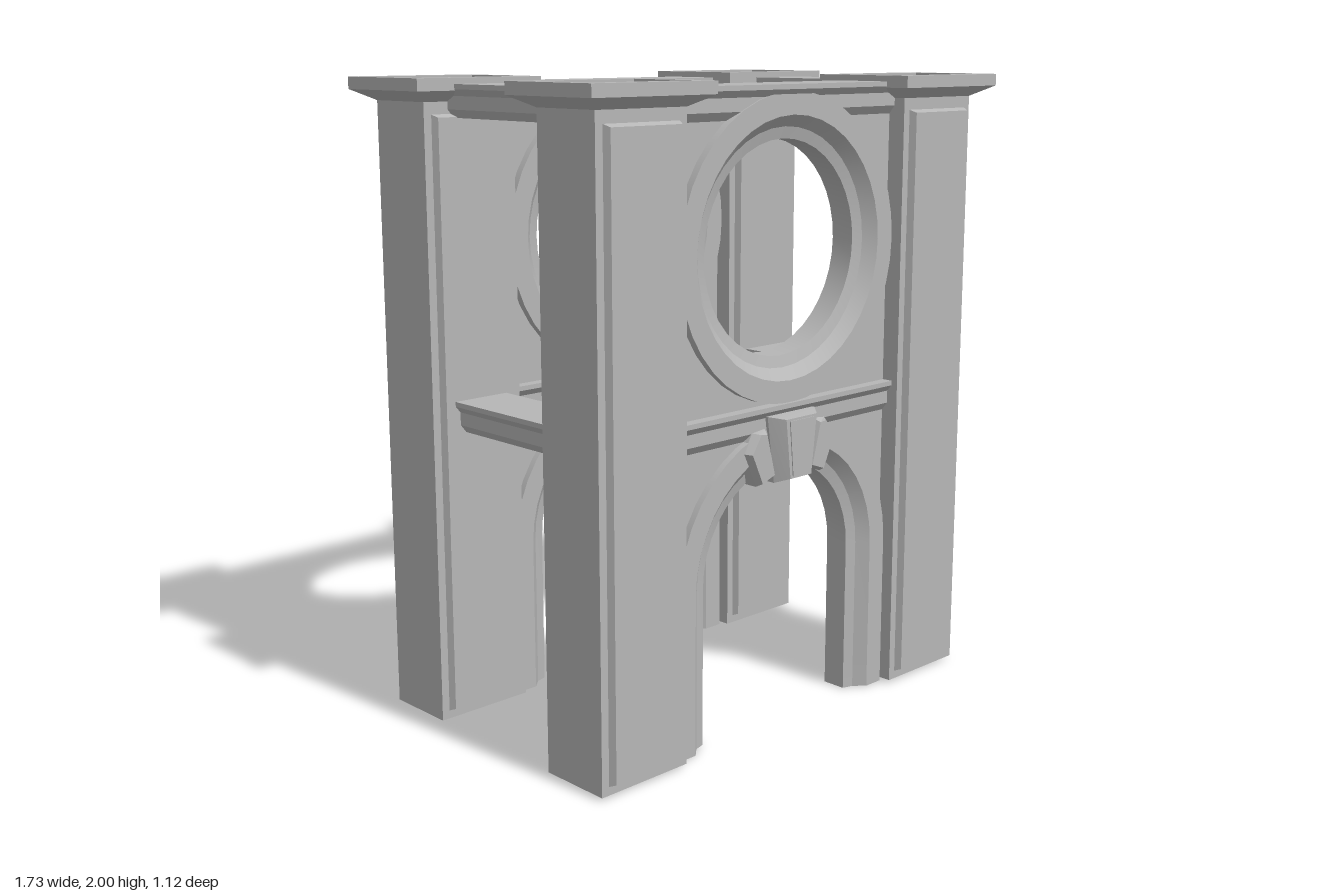
import * as THREE from 'three';
import { toCreasedNormals } from 'three/addons/utils/BufferGeometryUtils.js';

const PX = 0.637, PZ = 0.38;          // pillar centres
const ARCH_Y = 0.5, RING_Y = 1.495;   // arch spring line and round window centre

// Skin a row of equal-length point loops; optionally cap the ends or join last to first.
function loft(sections, { caps = true, closed = false } = {}) {
  const n = sections[0].length, m = sections.length;
  const pos = sections.flat(2), idx = [];
  for (let s = 0; s < (closed ? m : m - 1); s++) {
    for (let i = 0; i < n; i++) {
      const j = (i + 1) % n, t = (s + 1) % m;
      const a = s * n + i, b = s * n + j, c = t * n + j, d = t * n + i;
      idx.push(a, b, c, a, c, d);
    }
  }
  if (caps) {
    [0, m - 1].forEach((s) => {
      const centre = [0, 1, 2].map((k) => sections[s].reduce((sum, p) => sum + p[k], 0) / n);
      const c = pos.length / 3;
      pos.push(...centre);
      for (let i = 0; i < n; i++) {
        const a = s * n + i, b = s * n + (i + 1) % n;
        if (s === 0) idx.push(c, b, a); else idx.push(c, a, b);
      }
    });
  }
  // Turn the faces outward
  const v = (i) => new THREE.Vector3().fromArray(pos, i * 3);
  const mid = v(0).clone().set(0, 0, 0);
  for (let i = 0; i < pos.length / 3; i++) mid.addScaledVector(v(i), 3 / pos.length);
  let volume = 0;
  for (let i = 0; i < idx.length; i += 3) {
    const [a, b, c] = [0, 1, 2].map((k) => v(idx[i + k]).sub(mid));
    volume += a.dot(b.cross(c));
  }
  if (volume < 0) idx.reverse();
  const g = new THREE.BufferGeometry();
  g.setAttribute('position', new THREE.Float32BufferAttribute(pos, 3));
  g.setIndex(idx);
  return toCreasedNormals(g, 0.35);
}

// Rectangles lying flat (for columns) or upright (for face plates)
const flatRect = (y, hx, hz) => [[-hx, y, -hz], [hx, y, -hz], [hx, y, hz], [-hx, y, hz]];
const uprightRect = (z, hx, y0, y1) => [[-hx, y0, z], [hx, y0, z], [hx, y1, z], [-hx, y1, z]];

// Moulding cross-section as [radius, depth]
const moulding = (depth) => [
  [0.467, -depth], [0.467, depth], [0.398, depth], [0.363, 0.05], [0.327, 0.04],
  [0.327, -0.04], [0.363, -0.05], [0.398, -depth],
];
const spoke = (profile, angle, y) =>
  profile.map(([r, z]) => [r * Math.cos(angle), y + r * Math.sin(angle), z]);

function windowRing() {
  const sections = [];
  for (let i = 0; i < 40; i++) sections.push(spoke(moulding(0.085), i / 40 * Math.PI * 2, RING_Y));
  return loft(sections, { caps: false, closed: true });
}

function archMoulding() {
  const sections = [spoke(moulding(0.082), 0, 0)];
  for (let i = 0; i <= 20; i++) sections.push(spoke(moulding(0.082), i / 20 * Math.PI, ARCH_Y));
  sections.push(spoke(moulding(0.082), Math.PI, 0));
  return loft(sections);
}

function wallCore() {
  const x = 0.487, r = 0.42, d = 0.06;
  const shape = new THREE.Shape();
  shape.moveTo(-x, 0);
  shape.lineTo(-r, 0);
  shape.lineTo(-r, ARCH_Y);
  shape.absarc(0, ARCH_Y, r, Math.PI, 0, true);
  shape.lineTo(r, 0);
  shape.lineTo(x, 0);
  shape.lineTo(x, 1.95);
  shape.lineTo(-x, 1.95);
  const hole = new THREE.Path();
  hole.absarc(0, RING_Y, r, 0, Math.PI * 2, true);
  shape.holes.push(hole);
  return new THREE.ExtrudeGeometry(shape, { depth: 2 * d, bevelEnabled: false, curveSegments: 20 })
    .translate(0, 0, -d);
}

// Stepped beam running along x, centred, with its underside at y = 0
function cornice(halfLength) {
  const half = [[0.06, 0], [0.08, 0.025], [0.08, 0.065], [0.097, 0.085], [0.097, 0.1]];
  const profile = [...half, ...half.map(([z, y]) => [-z, y]).reverse()];
  return loft([-halfLength, halfLength].map((x) => profile.map(([z, y]) => [x, y, z])));
}

// Radial block beside the keystone, chamfered on both faces
function archBlock() {
  const section = (z, inset) => {
    const a0 = 1.11 + inset, a1 = 1.34 - inset, r0 = 0.322 + inset * 0.3, r1 = 0.485 - inset * 0.3;
    return [[r0, a0], [r1 - 0.04, a0], [r1, a0 + 0.12], [r1 - 0.01, a1], [r0, a1]]
      .map(([r, a]) => [r * Math.cos(a), ARCH_Y + r * Math.sin(a), z]);
  };
  return loft([section(-0.104, 0.03), section(-0.08, 0), section(0.08, 0), section(0.104, 0.03)]);
}

// Wedge standing out on both faces, wider at the top
function keystone() {
  const section = (z, top, bottom, y0, y1) => [[-bottom, y0, z], [bottom, y0, z], [top, y1, z], [-top, y1, z]];
  return loft([
    section(-0.133, 0.068, 0.047, 0.805, 0.992), section(-0.09, 0.105, 0.075, 0.79, 1.0),
    section(0.09, 0.105, 0.075, 0.79, 1.0), section(0.133, 0.068, 0.047, 0.805, 0.992),
  ]);
}

function keystonePlate() {
  const shape = new THREE.Shape(
    [[-0.037, 0.812], [0.037, 0.812], [0.053, 0.985], [-0.053, 0.985]].map(([x, y]) => new THREE.Vector2(x, y)));
  return new THREE.ExtrudeGeometry(shape, { depth: 0.004, bevelEnabled: false });
}

export function createModel() {
  const model = new THREE.Group();
  model.name = 'archedGateway';
  const stone = new THREE.MeshStandardMaterial({ color: 0xb6b6b6 });
  stone.name = 'greyStone';
  stone.side = THREE.DoubleSide;

  const add = (parent, name, geometry, x = 0, y = 0, z = 0) => {
    const mesh = new THREE.Mesh(geometry, stone);
    mesh.name = name;
    mesh.position.set(x, y, z);
    parent.add(mesh);
    return mesh;
  };

  // Four hollow pillars with raised panels and open caps
  const shaft = loft([flatRect(0.01, 0.166, 0.119), flatRect(1.935, 0.166, 0.119)], { caps: false });
  const cap = loft([
    flatRect(1.93, 0.166, 0.119), flatRect(1.963, 0.2275, 0.178), flatRect(2, 0.2275, 0.178),
    flatRect(2, 0.19, 0.12), flatRect(1.98, 0.19, 0.12), flatRect(1.98, 0.15, 0.099),
  ], { caps: false });
  const panel = loft([uprightRect(0.118, 0.14, 0.036, 1.894), uprightRect(0.14, 0.13, 0.045, 1.885)]);
  for (const sx of [-1, 1]) {
    for (const sz of [-1, 1]) {
      const pillar = new THREE.Group();
      pillar.name = 'pillar';
      pillar.position.set(sx * PX, 0, sz * PZ);
      add(pillar, 'pillarShaft', shaft);
      add(pillar, 'pillarCap', cap);
      add(pillar, 'frontPanel', panel);
      add(pillar, 'backPanel', panel).rotation.y = Math.PI;
      model.add(pillar);
    }
  }

  // Front and back walls, each with an arch below a round window
  const core = wallCore(), ring = windowRing(), arch = archMoulding();
  const wallBeam = cornice(0.487), key = keystone(), plate = keystonePlate(), block = archBlock();
  for (const sz of [-1, 1]) {
    const wall = new THREE.Group();
    wall.name = sz > 0 ? 'frontWall' : 'backWall';
    wall.position.z = sz * PZ;
    add(wall, 'wallCore', core);
    add(wall, 'windowRing', ring);
    add(wall, 'archMoulding', arch);
    add(wall, 'topCornice', wallBeam, 0, 1.882, 0);
    add(wall, 'middleCornice', wallBeam, 0, 0.93, 0);
    add(wall, 'keystone', key);
    add(wall, 'keystonePlate', plate, 0, 0, 0.132);
    add(wall, 'keystonePlate', plate, 0, 0, -0.132).rotation.y = Math.PI;
    add(wall, 'leftArchBlock', block);
    add(wall, 'rightArchBlock', block).rotation.y = Math.PI;
    model.add(wall);
  }

  // Open sides joined only by beams
  const sideBeam = cornice(0.315);
  for (const sx of [-1, 1]) {
    for (const [name, y] of [['sideTopBeam', 1.882], ['sideMiddleBeam', 0.93]]) {
      add(model, name, sideBeam, sx * PX, y, 0).rotation.y = Math.PI / 2;
    }
  }
  return model;
}
